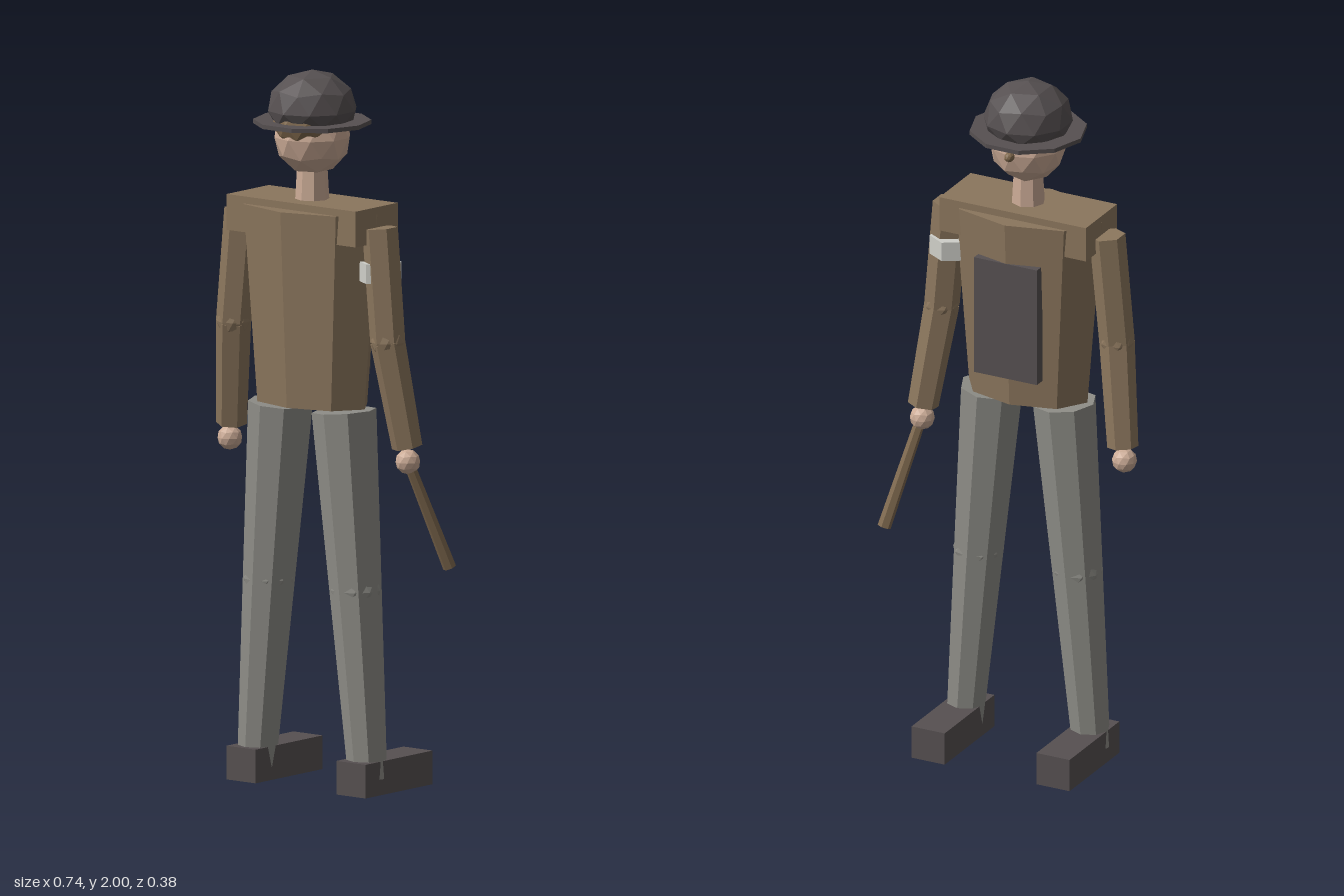
import * as THREE from 'three';

const mat = (name, color) => {
  const m = new THREE.MeshStandardMaterial({ color, flatShading: true });
  m.name = name;
  return m;
};

export function createModel() {
  const coat = mat('coat brown', 0x8b765d);
  const dark = mat('charcoal', 0x565051);
  const grey = mat('trouser grey', 0x8e8d87);
  const skin = mat('skin', 0xcbab96);
  const hairBrown = mat('hair brown', 0x7f684c);
  const wood = mat('baton wood', 0x7f694f);
  const white = mat('armband white', 0xcfcfc9);

  // The body axis runs through CX, CZ; the outstretched baton shifts it off centre.
  const CX = -0.023, CZ = 0.033;
  const model = new THREE.Group();
  model.name = 'officer';

  const add = (name, geo, material, x, y, z) => {
    const mesh = new THREE.Mesh(geo, material);
    mesh.name = name;
    mesh.position.set(x, y, z);
    model.add(mesh);
    return mesh;
  };
  const box = (name, material, w, h, d, x, y, z) =>
    add(name, new THREE.BoxGeometry(w, h, d), material, x, y, z);

  // Faceted ball with a five-sided pole pointing up
  const ballGeo = (r, sx = 1, sy = 1, sz = 1) => {
    const g = new THREE.IcosahedronGeometry(r, 1);
    g.rotateZ(-Math.atan(2 / (1 + Math.sqrt(5))));
    return g.scale(sx, sy, sz);
  };

  // Tapered limb between two points
  const limb = (name, material, a, b, ra, rb, sides) => {
    const p = new THREE.Vector3(...a), q = new THREE.Vector3(...b);
    const mid = p.clone().add(q).multiplyScalar(0.5);
    const mesh = add(name, new THREE.CylinderGeometry(ra, rb, p.distanceTo(q), sides), material, mid.x, mid.y, mid.z);
    mesh.quaternion.setFromUnitVectors(new THREE.Vector3(0, 1, 0), p.sub(q).normalize());
    return mesh;
  };

  // Torso, shoulders and back plate
  const torso = new THREE.CylinderGeometry(0.23, 0.184, 0.55, 8);
  torso.scale(1, 1, 0.61);
  add('torso', torso, coat, CX, 1.345, CZ);
  box('shoulders', coat, 0.455, 0.1, 0.185, CX, 1.59, CZ);
  box('backPlate', dark, 0.195, 0.345, 0.032, CX, 1.33, -0.086);

  // Neck, head, hair and nose (the face looks towards -z)
  add('neck', new THREE.CylinderGeometry(0.041, 0.049, 0.14, 8), skin, CX, 1.68, CZ);
  add('head', ballGeo(0.108), skin, CX, 1.815, CZ);
  add('hair', ballGeo(0.1, 0.97, 0.82, 1), hairBrown, CX, 1.86, 0.053);
  add('nose', ballGeo(0.014, 1, 1, 1.3), hairBrown, CX, 1.815, -0.078);

  // Hat: crown cut flat at the brim
  const crown = ballGeo(0.128, 0.97, 0.86, 1);
  const pos = crown.attributes.position;
  for (let i = 0; i < pos.count; i++) pos.setY(i, Math.max(pos.getY(i), -0.035));
  add('hatCrown', crown, dark, CX, 1.89, CZ);
  const brim = new THREE.CylinderGeometry(0.163, 0.163, 0.012, 10);
  brim.rotateY(Math.PI / 2);
  add('hatBrim', brim, dark, CX, 1.855, CZ);

  // Arms, legs and shoes on both sides
  for (const [side, s] of [['left', 1], ['right', -1]]) {
    const at = (x, y, z) => [CX + s * x, y, z];
    const elbow = at(0.272, 1.27, 0.04);
    limb(side + 'UpperArm', coat, at(0.243, 1.585, 0.038), elbow, 0.05, 0.049, 6);
    add(side + 'Elbow', ballGeo(0.047), coat, ...elbow);
    limb(side + 'Forearm', coat, elbow, at(0.31, 0.975, 0.002), 0.049, 0.043, 6);
    add(side + 'Hand', ballGeo(0.035), skin, ...at(0.314, 0.935, 0.004));

    limb(side + 'Leg', grey, at(0.112, 1.06, CZ), at(0.196, 0.04, CZ), 0.09, 0.054, 8);
    add(side + 'Knee', ballGeo(0.071), grey, ...at(0.154, 0.565, CZ));
    box(side + 'Shoe', dark, 0.103, 0.094, 0.295, CX + s * 0.194, 0.047, -0.043);
  }

  // Armband on the left upper arm and baton in the left hand
  add('armband', new THREE.CylinderGeometry(0.061, 0.061, 0.055, 6), white, 0.213, 1.462, 0.03);
  limb('baton', wood, [0.29, 0.95, 0.01], [0.355, 0.632, -0.1], 0.015, 0.019, 6);

  return model;
}
